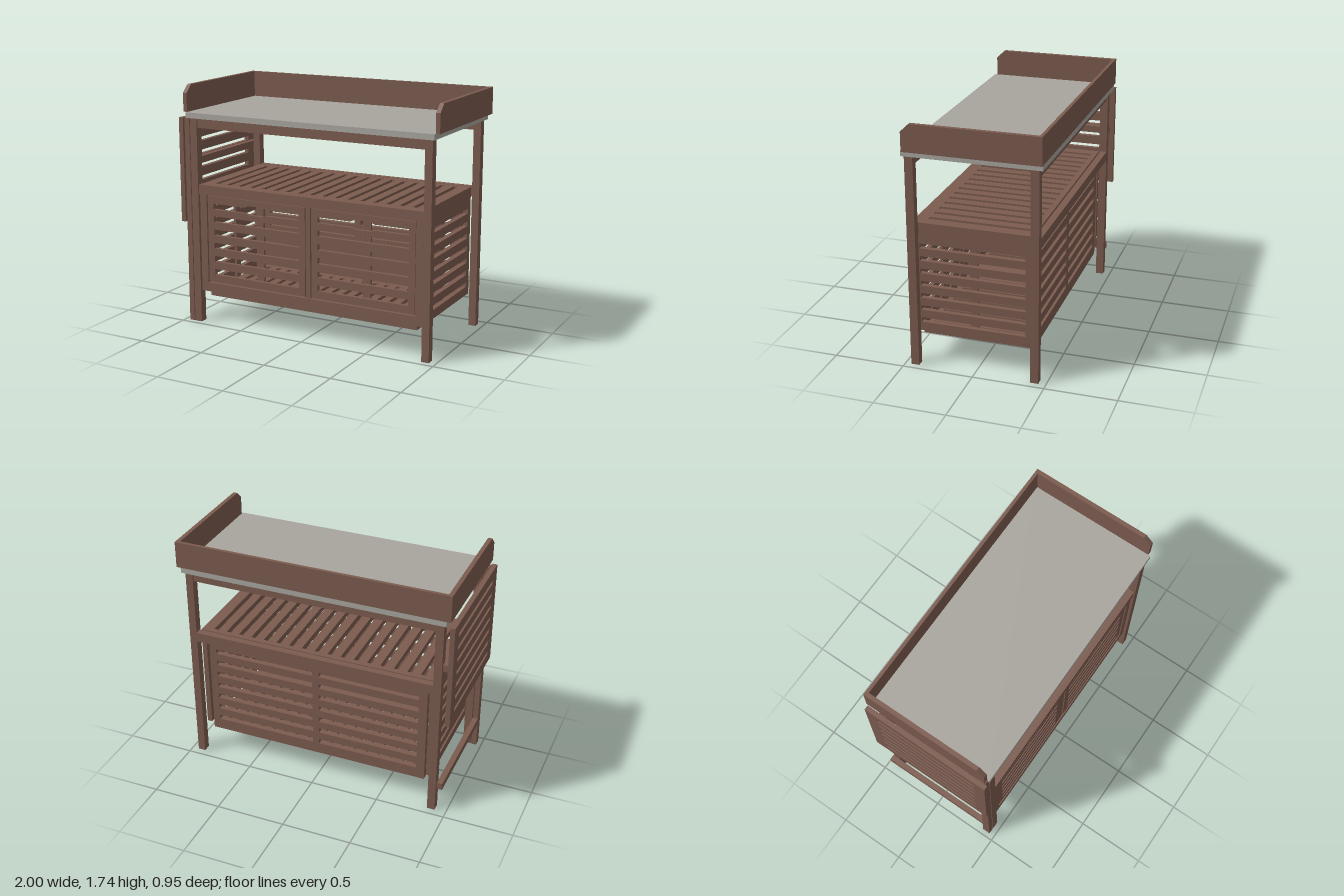
import * as THREE from 'three';

export function createModel() {
  const wood = new THREE.MeshStandardMaterial({ color: 0x7b5b4f });
  wood.name = 'brownWood';
  const grey = new THREE.MeshStandardMaterial({ color: 0xa8a59e });
  grey.name = 'greyTop';
  const model = new THREE.Group();
  model.name = 'changingTable';

  const add = (name, geometry, material = wood) => {
    const mesh = new THREE.Mesh(geometry, material);
    mesh.name = name;
    model.add(mesh);
    return mesh;
  };
  // Box from its limits on each axis
  const box = (name, x0, x1, y0, y1, z0, z1, material) => {
    const g = new THREE.BoxGeometry(x1 - x0, y1 - y0, z1 - z0);
    g.translate((x0 + x1) / 2, (y0 + y1) / 2, (z0 + z1) / 2);
    return add(name, g, material);
  };
  const rect = (u0, u1, v0, v1) => [[u0, v0], [u1, v0], [u1, v1], [u0, v1]];
  const toPoints = (list) => list.map(([u, v]) => new THREE.Vector2(u, v));
  // Flat board with cut-outs, drawn in (x,y), (z,y) or (x,z)
  const board = (name, plane, outline, holes, from, to) => {
    const shape = new THREE.Shape(toPoints(outline));
    for (const h of holes) shape.holes.push(new THREE.Path(toPoints(h)));
    const g = new THREE.ExtrudeGeometry(shape, { depth: to - from, bevelEnabled: false });
    if (plane === 'xy') g.translate(0, 0, from);
    if (plane === 'zy') g.rotateY(-Math.PI / 2).translate(to, 0, 0);
    if (plane === 'xz') g.rotateX(Math.PI / 2).translate(0, to, 0);
    return add(name, g);
  };
  // Row of evenly spaced horizontal slots, from the top down
  const slots = (u0, u1, top, pitch, height, count) =>
    Array.from({ length: count }, (_, i) =>
      rect(u0, u1, top - i * pitch - height, top - i * pitch));

  // Worktop and raised tray edge
  box('worktop', -0.94, 0.97, 1.51, 1.55, -0.475, 0.475, grey);
  box('trayBack', -0.97, 1.0, 1.55, 1.74, -0.478, -0.455);
  const traySide = [[-0.455, 1.55], [0.458, 1.55], [0.458, 1.685], [0.4, 1.74], [-0.455, 1.74]];
  board('trayRightSide', 'zy', traySide, [], -0.97, -0.94);
  board('trayLeftSide', 'zy', traySide, [], 0.97, 1.0);

  // Four legs with long rails under the top
  for (const [z0, z1, end] of [[0.4, 0.458, 'front'], [-0.448, -0.39, 'back']]) {
    box(end + 'RightLeg', -0.918, -0.862, 0, 1.51, z0, z1);
    box(end + 'LeftLeg', 0.898, 0.952, 0, 1.51, z0, z1);
    const mid = (z0 + z1) / 2;
    box(end + 'TopRail', -0.862, 0.898, 1.44, 1.51, mid - 0.018, mid + 0.018);
    box(end + 'ShelfRail', -0.862, 0.898, 0.96, 1.03, z0, z1 - 0.01);
  }

  // Slatted shelf and cabinet floor, slats running front to back
  const crossSlots = (x0, x1, z0, z1, count) => {
    const pitch = (x1 - x0) / count;
    return Array.from({ length: count }, (_, i) => {
      const c = x0 + (i + 0.5) * pitch;
      return rect(c - 0.016, c + 0.016, z0, z1);
    });
  };
  board('shelf', 'xz', rect(-0.86, 0.89, -0.39, 0.4),
    crossSlots(-0.81, 0.84, -0.35, 0.36, 17), 0.99, 1.03);
  board('cabinetFloor', 'xz', rect(-0.81, 0.838, -0.34, 0.4),
    crossSlots(-0.77, 0.8, -0.3, 0.36, 17), 0.195, 0.24);

  // Cabinet sides with a stile behind the slats
  for (const [x0, x1, s0, s1, side] of [
    [-0.86, -0.825, -0.825, -0.805, 'right'], [0.855, 0.89, 0.835, 0.855, 'left']]) {
    board(side + 'CabinetSide', 'zy', rect(-0.39, 0.4, 0.24, 0.99),
      slots(-0.34, 0.395, 0.88, 0.0907, 0.034, 7), x0, x1);
    box(side + 'SideStile', s0, s1, 0.24, 0.99, 0.0, 0.055);
  }

  // Cabinet back in two slotted bays
  board('cabinetBack', 'xy', rect(-0.81, 0.838, 0.195, 0.96), [
    ...slots(-0.75, -0.012, 0.882, 0.0945, 0.036, 7),
    ...slots(0.037, 0.785, 0.882, 0.0945, 0.036, 7)], -0.385, -0.345);

  // Front frame around the doors
  box('frontBottomRail', -0.86, 0.89, 0.237, 0.305, 0.4, 0.44);
  box('frontRightStile', -0.86, -0.805, 0.305, 0.96, 0.4, 0.44);
  box('frontLeftStile', 0.838, 0.89, 0.305, 0.96, 0.4, 0.44);
  box('frontCentrePost', 0.002, 0.038, 0.305, 0.96, 0.4, 0.43);

  // Doors, with a wider hand-hole in the top slot
  for (const [x0, x1, side] of [[-0.8, -0.002, 'right'], [0.048, 0.832, 'left']]) {
    const a = x0 + 0.05, b = x1 - 0.048, c = (a + b) / 2;
    const handHole = [[a, 0.855], [c - 0.09, 0.855], [c - 0.06, 0.845], [c + 0.06, 0.845],
      [c + 0.09, 0.855], [b, 0.855], [b, 0.897], [c + 0.09, 0.897],
      [c + 0.06, 0.912], [c - 0.06, 0.912], [c - 0.09, 0.897], [a, 0.897]];
    board(side + 'Door', 'xy', rect(x0, x1, 0.312, 0.953),
      [handHole, ...slots(a, b, 0.805, 0.0985, 0.043, 5)], 0.405, 0.433);
    box(side + 'DoorStile', c - 0.01, c + 0.05, 0.312, 0.953, 0.385, 0.405);
  }

  // Hanging slatted side panel and its support frame
  board('sidePanel', 'zy', rect(-0.478, 0.475, 0.75, 1.51),
    slots(-0.39, 0.387, 1.435, 0.0967, 0.031, 7), -1.0, -0.966);
  box('supportLeg', -0.964, -0.924, 0, 1.51, 0.4, 0.458);
  box('supportLowerRail', -0.964, -0.924, 0.19, 0.24, -0.448, 0.4);
  box('supportUpperRail', -0.964, -0.924, 1.157, 1.208, -0.448, 0.4);

  return model;
}
